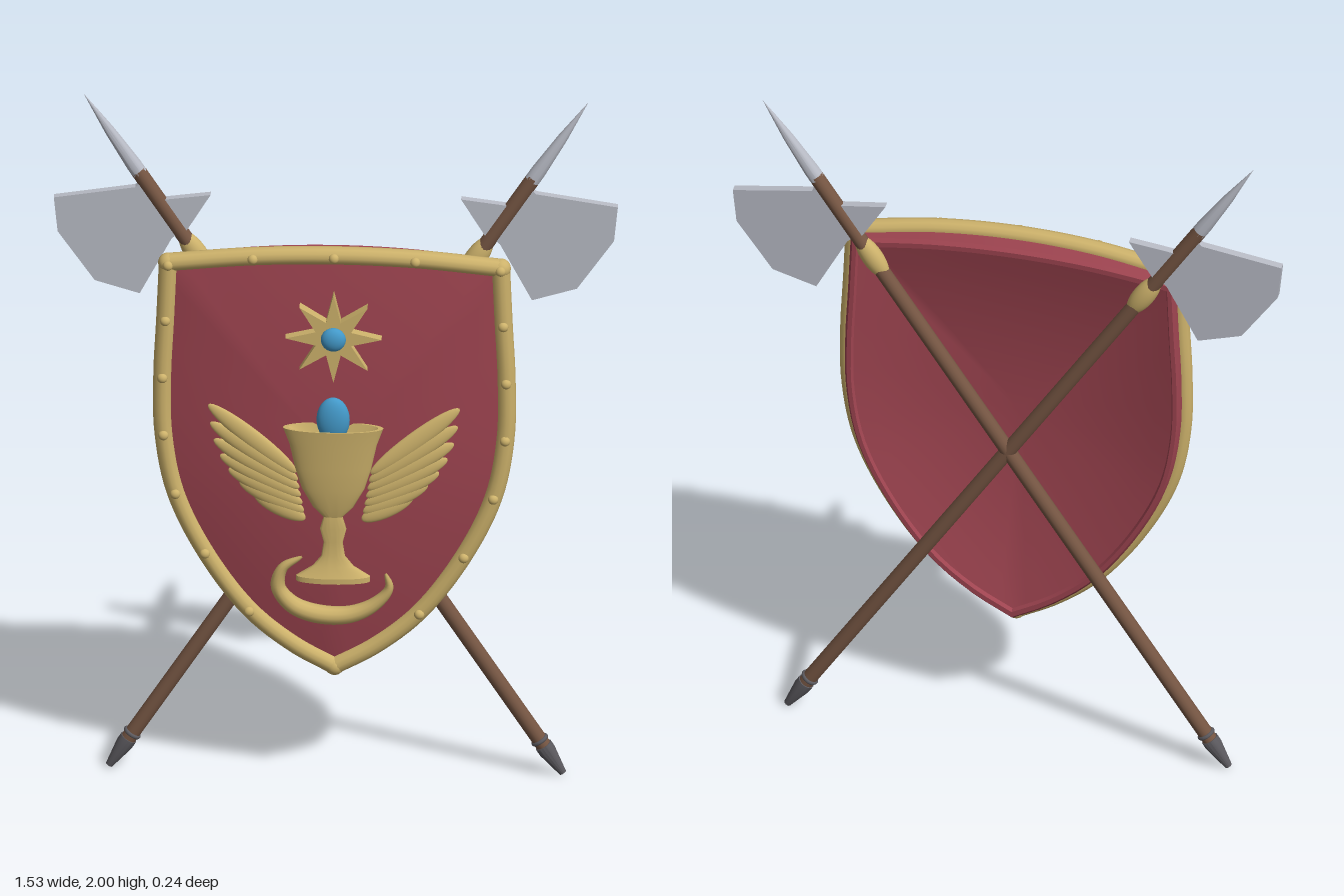
import * as THREE from 'three';
import { toCreasedNormals } from 'three/addons/utils/BufferGeometryUtils.js';

const V = (x, y, z = 0) => new THREE.Vector3(x, y, z);
const mat = (name, color) => {
  const m = new THREE.MeshStandardMaterial({ color });
  m.name = name;
  return m;
};

export function createModel() {
  const gold = mat('gold', 0xcdb26b);
  const red = mat('red', 0x9e4450);
  const blue = mat('blue', 0x4399c9);
  const steel = mat('steel', 0xb9bcc6);
  const iron = mat('iron', 0x5c5a5f);
  const wood = mat('wood', 0x765643);

  const model = new THREE.Group();
  const add = (parent, name, geo, material, pos = V(0, 0), scale = V(1, 1, 1)) => {
    const mesh = new THREE.Mesh(geo, material);
    mesh.name = name;
    mesh.position.copy(pos);
    mesh.scale.copy(scale);
    parent.add(mesh);
    return mesh;
  };
  const lathe = (pts, seg = 32) =>
    toCreasedNormals(new THREE.LatheGeometry(pts.map(([r, y]) => new THREE.Vector2(r, y)), seg), 0.7);
  const ball = new THREE.SphereGeometry(1, 24, 16);

  // Shield outline: a bowed top edge and two sides meeting at the point
  const topEdge = new THREE.CatmullRomCurve3(
    [-0.45, -0.22, 0, 0.22, 0.45].map(x => V(x, 1.585 - 0.19 * x * x, 0.022 * (1 - (x / 0.45) ** 2))));
  const sidePts = [[0.45, 1.545], [0.457, 1.38], [0.465, 1.21], [0.462, 1.04], [0.43, 0.866],
    [0.35, 0.69], [0.23, 0.52], [0.11, 0.418], [0, 0.355]];
  const sideCurve = s => new THREE.CatmullRomCurve3(sidePts.map(([x, y]) => V(s * x, y)));
  const right = sideCurve(-1), left = sideCurve(1);

  // Shield body: scaled copies of the outline, domed in front and hollow behind
  const outline = [
    ...right.getSpacedPoints(32).slice(0, -1),
    ...left.getSpacedPoints(32).reverse().slice(0, -1),
    ...topEdge.getSpacedPoints(24).reverse().slice(0, -1),
  ];
  const rings = [];
  for (let i = 0; i <= 10; i++) {
    const s = i / 10;
    rings.push([s, rim => 0.055 + (rim - 0.055) * s * s]);
  }
  rings.push([1, () => -0.045], [0.985, () => -0.055], [0.96, () => -0.055]);
  for (let i = 9; i >= 0; i--) {
    const s = 0.95 * i / 9;
    rings.push([s, () => 0.025 - 0.07 * (s / 0.95) ** 2]);
  }
  const pos = [], index = [], n = outline.length;
  rings.forEach(([s, z], k) => outline.forEach((p, i) => {
    pos.push(p.x * s, 1 + (p.y - 1) * s, z(p.z));
    if (k === 0) return;
    const j = (i + 1) % n, a = (k - 1) * n, b = k * n;
    index.push(a + i, b + i, b + j, a + i, b + j, a + j);
  }));
  const shell = new THREE.BufferGeometry();
  shell.setAttribute('position', new THREE.Float32BufferAttribute(pos, 3));
  shell.setIndex(index);
  add(model, 'shieldBody', toCreasedNormals(shell, 0.7), red);

  // Gold edging with rounded joints
  const trim = new THREE.Group();
  trim.name = 'shieldTrim';
  model.add(trim);
  for (const [name, c] of [['topTrim', topEdge], ['rightTrim', right], ['leftTrim', left]])
    add(trim, name, new THREE.TubeGeometry(c, 48, 0.025, 12), gold);
  for (const [x, y] of [[-0.45, 1.545], [0.45, 1.545], [0, 0.355]])
    add(trim, 'trimJoint', ball, gold, V(x, y), V(0.027, 0.027, 0.027));

  // Rivets along the edging
  const rivet = p => add(trim, 'rivet', ball, gold, p.clone().add(V(0, 0, 0.022)), V(0.014, 0.014, 0.012));
  [-0.22, 0, 0.22].forEach(x => rivet(V(x, 1.585 - 0.19 * x * x, 0.022 * (1 - (x / 0.45) ** 2))));
  for (const s of [-1, 1]) for (const i of [0, 1, 2, 3, 4, 5, 6]) rivet(V(s * sidePts[i][0], sidePts[i][1]));

  // Eight-pointed star with a gem
  const star = new THREE.Shape();
  for (let i = 0; i < 16; i++) {
    const r = i % 2 ? 0.052 : 0.13, a = i * Math.PI / 8;
    star[i ? 'lineTo' : 'moveTo'](r * Math.sin(a), r * Math.cos(a));
  }
  add(model, 'star', new THREE.ExtrudeGeometry(star, { depth: 0.035, bevelEnabled: false }), gold, V(0, 1.357, 0.035));
  add(model, 'starGem', ball, blue, V(0, 1.357, 0.073), V(0.034, 0.034, 0.02));

  // Flattened goblet holding an egg-shaped gem
  add(model, 'goblet', lathe([[0, 0.645], [0.1, 0.645], [0.1, 0.66], [0.055, 0.69], [0.032, 0.72], [0.026, 0.76],
    [0.036, 0.8], [0.026, 0.835], [0.055, 0.865], [0.085, 0.92], [0.103, 0.98], [0.118, 1.05], [0.136, 1.1],
    [0.122, 1.1], [0.1, 1.075], [0, 1.06]], 40), gold, V(0, 0, 0.083), V(1, 1, 0.27));
  add(model, 'gobletGem', ball, blue, V(0, 1.125, 0.085), V(0.045, 0.065, 0.025));

  // Tapered horn curling below the foot
  const hornCurve = new THREE.CatmullRomCurve3([[-0.085, 0.7], [-0.138, 0.665], [-0.15, 0.61], [-0.112, 0.558],
    [-0.043, 0.531], [0.043, 0.531], [0.111, 0.563], [0.15, 0.612], [0.14, 0.655]].map(([x, y]) => V(x, y, 0.052)));
  const horn = new THREE.TubeGeometry(hornCurve, 64, 0.026, 12);
  const hp = horn.attributes.position;
  for (let i = 0; i < hp.count; i++) {
    const t = Math.floor(i / 13) / 64, c = hornCurve.getPointAt(t);
    const k = 0.12 + 0.88 * Math.sin(Math.PI * t) ** 0.7;
    const p = V(0, 0).fromBufferAttribute(hp, i).sub(c).multiplyScalar(k).add(c);
    hp.setXYZ(i, p.x, p.y, p.z);
  }
  add(model, 'curledHorn', horn, gold);

  // Wings: overlapping long feathers, each from root to tip
  const tips = [[0.34, 1.142], [0.335, 1.09], [0.325, 1.04], [0.308, 0.995], [0.285, 0.955], [0.255, 0.92], [0.215, 0.885]];
  for (const s of [-1, 1]) {
    const wing = new THREE.Group();
    wing.name = s > 0 ? 'leftWing' : 'rightWing';
    model.add(wing);
    tips.forEach(([x, y], i) => {
      const a = V(s * (0.1 - 0.004 * i), 0.955 - 0.023 * i, 0.062), b = V(s * x, y, 0.038 + 0.002 * i);
      const f = add(wing, 'feather', ball, gold, a.clone().lerp(b, 0.5), V(0.026, a.distanceTo(b) / 2, 0.012));
      f.quaternion.setFromUnitVectors(V(0, 1), b.clone().sub(a).normalize());
    });
  }

  // Crossed poleaxes behind the shield
  const L = 2.384, lean = Math.atan2(1.298, 2);
  const plate = (pts, s) => {
    const shape = new THREE.Shape(pts.map(([v, u]) => new THREE.Vector2(s * v, L - u)));
    const g = new THREE.ExtrudeGeometry(shape, { depth: 0.022, bevelEnabled: false });
    return g.translate(0, 0, -0.011);
  };
  for (const s of [-1, 1]) {
    const axe = new THREE.Group();
    axe.name = s > 0 ? 'leftPoleaxe' : 'rightPoleaxe';
    axe.position.set(-s * 0.615, 0, -0.096);
    axe.rotation.z = -s * lean;
    model.add(axe);
    add(axe, 'pole', new THREE.CylinderGeometry(0.021, 0.021, L - 0.36, 16), wood, V(0, 0.09 + (L - 0.36) / 2));
    add(axe, 'spike', lathe([[0, L - 0.28], [0.021, L - 0.28], [0.021, L - 0.25], [0.014, L - 0.13], [0, L]], 16), steel);
    add(axe, 'blade', plate([[0, 0.3], [0.03, 0.305], [0.234, 0.214], [0.28, 0.304], [0.274, 0.479],
      [0.192, 0.576], [0.03, 0.485], [0, 0.48]], s), steel);
    add(axe, 'backSpike', plate([[0, 0.37], [-0.13, 0.432], [0, 0.495]], s), steel);
    add(axe, 'collar', ball, gold, V(0, L - 0.56), V(0.03, 0.075, 0.025));
    add(axe, 'buttCap', lathe([[0, 0], [0.01, 0.003], [0.024, 0.08], [0.024, 0.1], [0, 0.1]], 16), iron);
    const ring = add(axe, 'buttRing', new THREE.TorusGeometry(0.02, 0.006, 8, 16), iron, V(0, 0.118));
    ring.rotation.x = Math.PI / 2;
  }
  return model;
}
